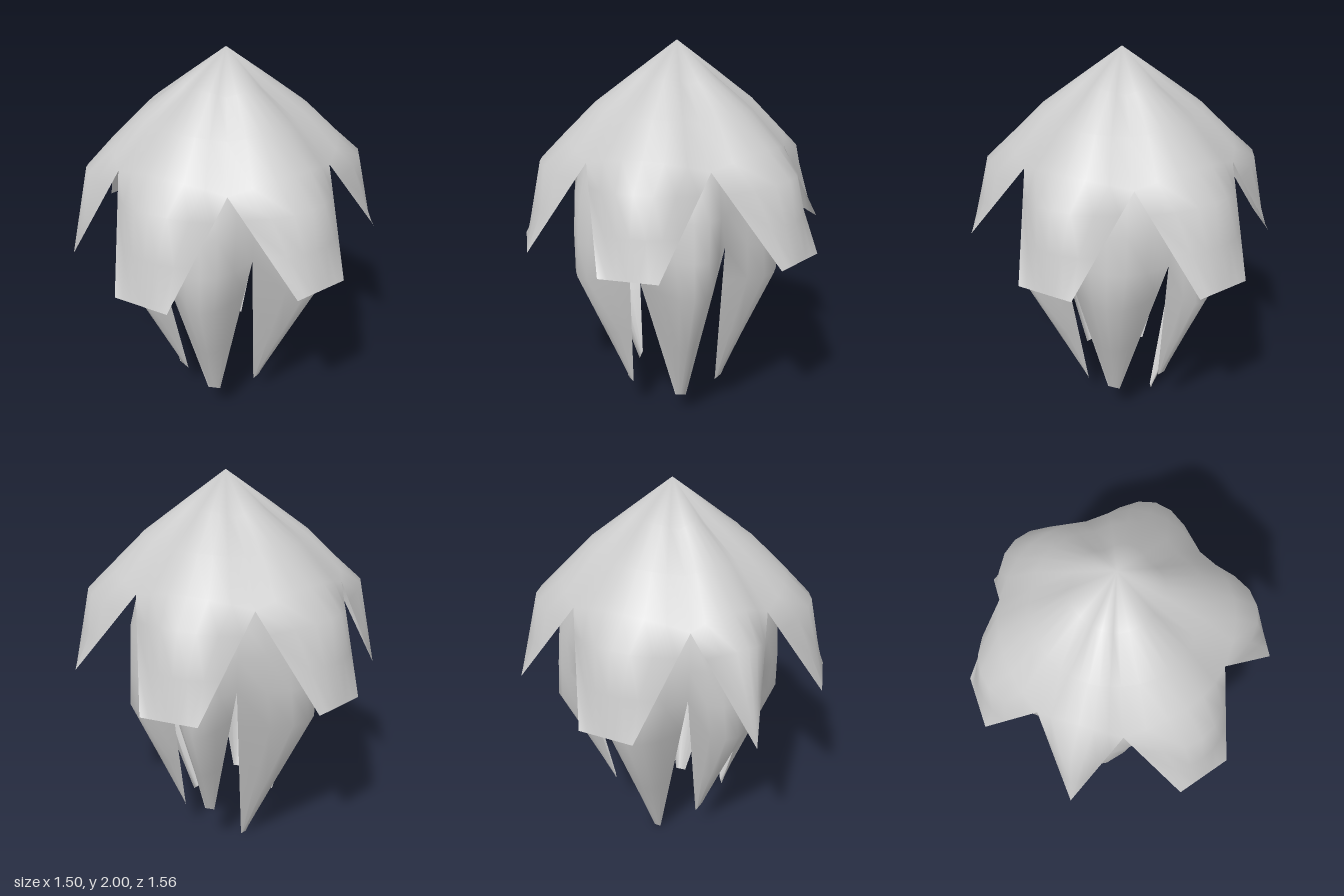
import * as THREE from 'three';
import { mergeVertices } from 'three/addons/utils/BufferGeometryUtils.js';

const COLS = 6; // strips across one petal

// One ring of petals hanging from a common apex.
// petals: [valleyX, valleyZ, ridgeX, ridgeZ, tip1X, tip1Z, tip2X, tip2Z, tipY], in order round the axis
// rings:  [valley factor, valley y, ridge factor, ridge y], from the apex to the valley
// bend:   [fraction along the petal's side, ridge y]
function petalLayer(name, apex, petals, rings, bend) {
  const pos = [], index = [];
  const V = (x, y, z) => new THREE.Vector3(x, y, z);
  const out = (x, z, k, y) => V(apex.x + (x - apex.x) * k, y, apex.z + (z - apex.z) * k);

  petals.forEach(([ax, az, mx, mz, t1x, t1z, t2x, t2z, tipY], i) => {
    const [bx, bz] = petals[(i + 1) % petals.length];

    // each row: left side, middle ridge, right side
    const rows = [[apex, apex, apex]];
    for (const [k, y, r, ry] of rings) rows.push([out(ax, az, k, y), out(mx, mz, r, ry), out(bx, bz, k, y)]);
    const [l, , r] = rows[rows.length - 1];
    const tipL = V(t1x, tipY, t1z), tipR = V(t2x, tipY, t2z);
    const tipM = tipL.clone().lerp(tipR, 0.5);
    const mid = V(mx, bend[1], mz);
    rows.push([l.clone().lerp(tipL, bend[0]), mid, r.clone().lerp(tipR, bend[0])]);
    rows.push([l.clone().lerp(tipL, 0.6), mid.clone().lerp(tipM, 0.5), r.clone().lerp(tipR, 0.6)]);
    rows.push([tipL, tipM, tipR]);

    // curve every row through its three points
    const base = pos.length / 3;
    rows.forEach(([L, M, R], j) => {
      for (let c = 0; c <= COLS; c++) {
        const t = c / COLS;
        const wl = (1 - t) * (1 - 2 * t), wm = 4 * t * (1 - t), wr = t * (2 * t - 1);
        pos.push(L.x * wl + M.x * wm + R.x * wr, L.y * wl + M.y * wm + R.y * wr, L.z * wl + M.z * wm + R.z * wr);
        if (j === 0 || c === 0) continue;
        const n = base + j * (COLS + 1) + c, up = n - COLS - 1;
        if (j > 1) index.push(up - 1, up, n - 1);
        index.push(up, n, n - 1);
      }
    });
  });

  let geo = new THREE.BufferGeometry();
  geo.setAttribute('position', new THREE.Float32BufferAttribute(pos, 3));
  geo.setIndex(index);
  geo = mergeVertices(geo, 1e-4);
  geo.computeVertexNormals();
  const mesh = new THREE.Mesh(geo, new THREE.MeshStandardMaterial({ color: 0xcccccc, side: THREE.DoubleSide }));
  mesh.name = name;
  return mesh;
}

export function createModel() {
  const flower = new THREE.Group();
  flower.name = 'hangingFlower';

  // short flared petals on top
  flower.add(petalLayer('outerPetals', new THREE.Vector3(-0.01, 2, 0), [
    [0.51, 0.11, 0.47, 0.48, 0.63, 0.44, 0.44, 0.65, 1.06],
    [0.10, 0.54, -0.23, 0.65, -0.13, 0.78, -0.40, 0.69, 1.0],
    [-0.45, 0.37, -0.66, 0.235, -0.755, 0.275, -0.755, 0.275, 0.955],
    [-0.59, -0.01, -0.59, -0.36, -0.73, -0.29, -0.58, -0.52, 1.02],
    [-0.27, -0.50, 0.04, -0.67, -0.08, -0.78, 0.20, -0.75, 1.03],
    [0.31, -0.43, 0.63, -0.24, 0.66, -0.40, 0.75, -0.13, 1.05],
  ], [
    [0.36, 1.82, 0.31, 1.845],
    [0.69, 1.68, 0.59, 1.70],
    [1, 1.49, 0.81, 1.55],
  ], [0.22, 1.43]));

  // long inner bell, split into narrowing petals
  flower.add(petalLayer('innerPetals', new THREE.Vector3(-0.015, 1.95, -0.02), [
    [0.42, -0.03, 0.51, 0.19, 0.19, 0.055, 0.165, 0.105, 0.135],
    [0.19, 0.375, -0.03, 0.56, 0.01, 0.28, -0.055, 0.28, 0.185],
    [-0.27, 0.41, -0.53, 0.24, -0.20, 0.14, -0.26, 0.09, 0.185],
    [-0.49, 0.0, -0.50, -0.30, -0.15, -0.09, -0.13, -0.12, 0],
    [-0.185, -0.48, 0, -0.60, -0.03, -0.32, 0.02, -0.32, 0.28],
    [0.14, -0.49, 0.40, -0.34, 0.17, -0.18, 0.20, -0.12, 0.185],
  ], [
    [0.66, 1.70, 0.53, 1.70],
    [1.0, 1.46, 0.82, 1.47],
    [1.05, 1.25, 0.95, 1.25],
    [1, 1.07, 0.98, 1.05],
  ], [0.22, 0.86]));

  return flower;
}
